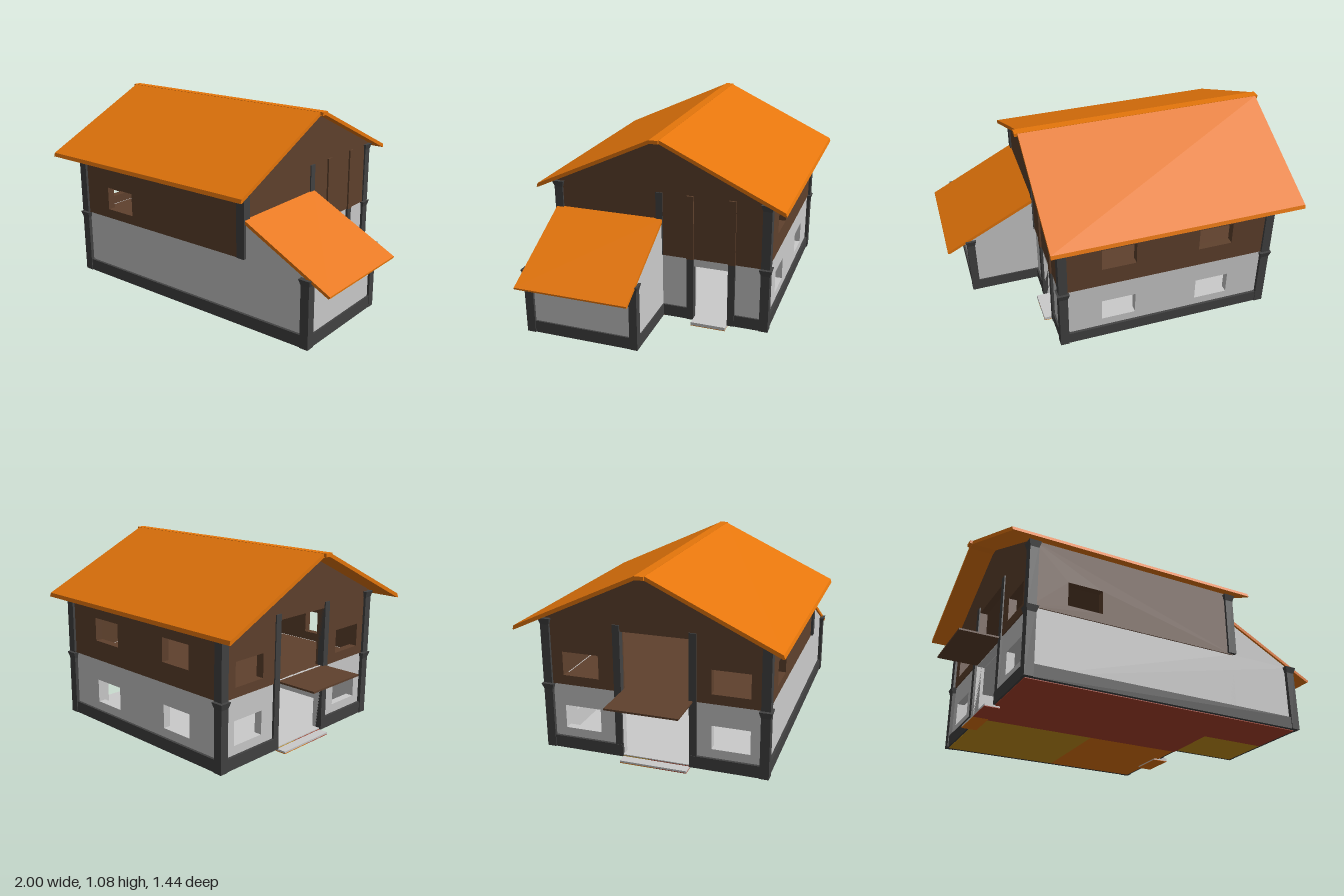
import * as THREE from 'three';

const mat = (name, color) => {
  const m = new THREE.MeshStandardMaterial({ color });
  m.name = name;
  return m;
};

export function createModel() {
  const house = new THREE.Group();
  house.name = 'house';
  const orange = mat('roof orange', 0xe6760b);
  const brown = mat('timber brown', 0x5f412d);
  const gray = mat('plaster gray', 0xcacaca);
  const dark = mat('frame dark gray', 0x424242);
  const maroon = mat('floor maroon', 0xb0432c);
  const olive = mat('floor olive', 0xcc951a);

  const add = (name, geo, m) => {
    const mesh = new THREE.Mesh(geo, m);
    mesh.name = name;
    house.add(mesh);
    return mesh;
  };
  // Box given by its limits on each axis
  const box = (name, m, x0, x1, y0, y1, z0, z1) =>
    add(name, new THREE.BoxGeometry(x1 - x0, y1 - y0, z1 - z0), m)
      .position.set((x0 + x1) / 2, (y0 + y1) / 2, (z0 + z1) / 2);
  const poly = pts => pts.map(p => new THREE.Vector2(p[0], p[1]));
  const rect = (a, b, c, d) => [[a, c], [b, c], [b, d], [a, d]];
  const panel = (pts, holes, depth) => {
    const shape = new THREE.Shape(poly(pts));
    for (const h of holes) shape.holes.push(new THREE.Path(poly(rect(...h))));
    return new THREE.ExtrudeGeometry(shape, { depth, bevelEnabled: false });
  };
  const T = 0.045;
  // Wall in the x-y plane, starting at z
  const wallZ = (name, m, z, pts, holes = []) =>
    add(name, panel(pts, holes, T).translate(0, 0, z), m);
  // Wall in the z-y plane, starting at x; points are (z, y)
  const wallX = (name, m, x, pts, holes = []) =>
    add(name, panel(pts.map(p => [-p[0], p[1]]),
      holes.map(h => [-h[1], -h[0], h[2], h[3]]), T)
      .rotateY(Math.PI / 2).translate(x, 0, 0), m);

  // Long walls; the upper storey overhangs by a small ledge
  const W = 0.615, L = -0.765, R = 0.465, ledge = 0.006, Y = 0.396;
  wallZ('frontLowerWall', gray, W - T,
    [[L, 0.02], [0.87, 0.02], [0.87, 0.4], [0.48, 0.598], [R, 0.598], [R, 0.4], [L, 0.4]]);
  wallZ('frontUpperWall', brown, W - T + ledge, rect(L, R, Y, 0.782), [[-0.56, -0.36, 0.45, 0.585]]);
  const backWindows = (y0, y1) => [[-0.54, -0.34, y0, y1], [0.03, 0.23, y0, y1]];
  wallZ('backLowerWall', gray, -W, rect(L, R, 0.02, 0.4), backWindows(0.135, 0.27));
  wallZ('backUpperWall', brown, -W - ledge, rect(L, R, Y, 0.782), backWindows(0.51, 0.645));

  // End walls with gables
  const gable = [[-W, Y], [W, Y], [W, 0.787], [0.025, 1.066], [-0.025, 1.066], [-W, 0.787]];
  const ends = (y0, y1) => [[-0.52, -0.31, y0, y1], [0.32, 0.53, y0, y1]];
  wallX('balconyEndLowerWall', gray, L, rect(-W, W, 0.02, 0.4),
    [...ends(0.135, 0.27), [-0.18, 0.2, 0.024, 0.385]]);
  wallX('balconyEndGable', brown, L - ledge, gable,
    [...ends(0.45, 0.585), [-0.18, 0.2, 0.4, 0.735]]);
  wallX('doorEndLowerWall', gray, R - T, rect(-W, W, 0.02, 0.4), [[-0.4, -0.2, 0.024, 0.35]]);
  wallX('doorEndGable', brown, R - T + ledge, gable);

  // Annex walls
  wallZ('annexBackWall', gray, -0.015,
    [[R, 0.02], [0.87, 0.02], [0.87, 0.4], [0.48, 0.598], [R, 0.598]]);
  wallX('annexEndWall', gray, 0.87 - T, rect(-0.01, W, 0.02, 0.398));

  // Dark base band
  const band = (...b) => box('baseBand', dark, b[0], b[1], 0.016, 0.085, b[2], b[3]);
  band(-0.78, 0.88, 0.59, 0.63);
  band(-0.78, 0.48, -0.63, -0.59);
  band(-0.78, -0.745, -0.63, -0.18);
  band(-0.78, -0.745, 0.2, 0.63);
  band(0.445, 0.475, -0.63, -0.4);
  band(0.445, 0.475, -0.2, 0);
  band(0.845, 0.88, -0.02, 0.63);
  band(0.46, 0.88, -0.022, 0.01);

  // Posts, with flared capitals at the corners
  const post = (name, m, x, z, y0, y1, w, capital = false) => {
    const h = w / 2;
    box(name, m, x - h, x + h, y0, y1, z - h, z + h);
    if (!capital) return;
    const cap = new THREE.CylinderGeometry(w * 0.98, w * 0.7071, 0.035, 4, 1).toNonIndexed();
    cap.computeVertexNormals();
    add('capital', cap.rotateY(Math.PI / 4).translate(x, y1 - 0.0175, z), m);
  };
  for (const z of [-0.61, 0.61]) {
    post('upperCornerPost', dark, -0.76, z, 0.4, 0.77, 0.05, true);
    post('upperCornerPost', dark, 0.455, z, 0.4, 0.77, 0.05, true);
    post('lowerCornerPost', dark, -0.76, z, 0.016, 0.395, 0.05, true);
  }
  post('lowerCornerPost', dark, 0.455, -0.61, 0.016, 0.395, 0.05, true);
  post('annexPost', dark, 0.86, 0.61, 0.016, 0.395, 0.05, true);
  post('annexPost', dark, 0.86, 0, 0.016, 0.395, 0.045, true);
  post('gablePost', dark, 0.458, 0, 0.4, 0.77, 0.04);
  for (const z of [-0.18, -0.42]) {
    post('doorPost', dark, 0.458, z, 0.016, 0.395, 0.04);
    post('gableBatten', brown, 0.461, z, 0.395, 0.77, 0.04);
  }
  for (const z of [-0.2, 0.22]) post('balconyPost', dark, -0.758, z, 0.016, 0.77, 0.04);

  // Upper floor, its ceiling below, and the balcony
  box('upperFloor', brown, L + T, R - T, 0.39, 0.4, -W + T, W - T);
  box('lowerCeiling', gray, L + T, R - T, 0.382, 0.39, -W + T, W - T);
  box('balcony', brown, -1, -0.72, 0.39, 0.4, -0.18, 0.22);

  // Ground floor, with coloured undersides for each room
  box('groundFloor', gray, -0.77, 0.46, 0.018, 0.024, -0.6, 0.6);
  box('annexFloor', gray, 0.46, 0.86, 0.018, 0.024, 0, 0.6);
  const underside = (m, ...b) => box('floorUnderside', m, b[0], b[1], 0.012, 0.018, b[2], b[3]);
  underside(olive, -0.77, -0.1, -0.6, -0.03);
  underside(orange, -0.1, 0.46, -0.6, -0.03);
  underside(maroon, -0.77, 0.47, -0.03, 0.61);
  underside(olive, 0.47, 0.86, 0, 0.3);
  underside(maroon, 0.47, 0.86, 0.3, 0.61);

  // Door steps
  box('entranceStep', gray, -0.825, -0.74, 0.004, 0.014, -0.18, 0.2);
  box('stepUnderside', orange, -0.825, -0.74, 0, 0.004, -0.18, 0.02);
  box('stepUnderside', maroon, -0.825, -0.74, 0, 0.004, 0.02, 0.2);
  box('doorStep', gray, 0.43, 0.52, 0.006, 0.024, -0.4, -0.2);
  box('stepUnderside', orange, 0.43, 0.52, 0.003, 0.006, -0.4, -0.2);

  // Main roof: one bent slab along x, with a ridge cap and an inner lining
  const half = [[0.025, 1.082], [0.715, 0.76], [0.722, 0.739], [0.715, 0.737], [0.025, 1.06]];
  const mirrored = pts => [...pts, ...pts.map(p => [-p[0], p[1]]).reverse()];
  const roof = panel(mirrored(half), [], 1.445);
  add('mainRoof', roof.rotateY(Math.PI / 2).translate(-0.915, 0, 0), orange);
  box('ridgeCap', orange, -0.93, 0.548, 1.064, 1.0835, -0.025, 0.025);
  const lining = panel(mirrored([[0.025, 1.058], [0.57, 0.803], [0.57, 0.794], [0.025, 1.049]]),
    [], R - L - 2 * T);
  add('roofLining', lining.rotateY(Math.PI / 2).translate(L + T, 0, 0), brown);

  // Lean-to roof over the annex
  const lean = panel([[0.474, 0.595], [0.99, 0.329], [1, 0.333], [1, 0.342], [0.474, 0.616]], [], 0.645);
  add('annexRoof', lean.translate(0, 0, -0.018), orange);

  return house;
}
